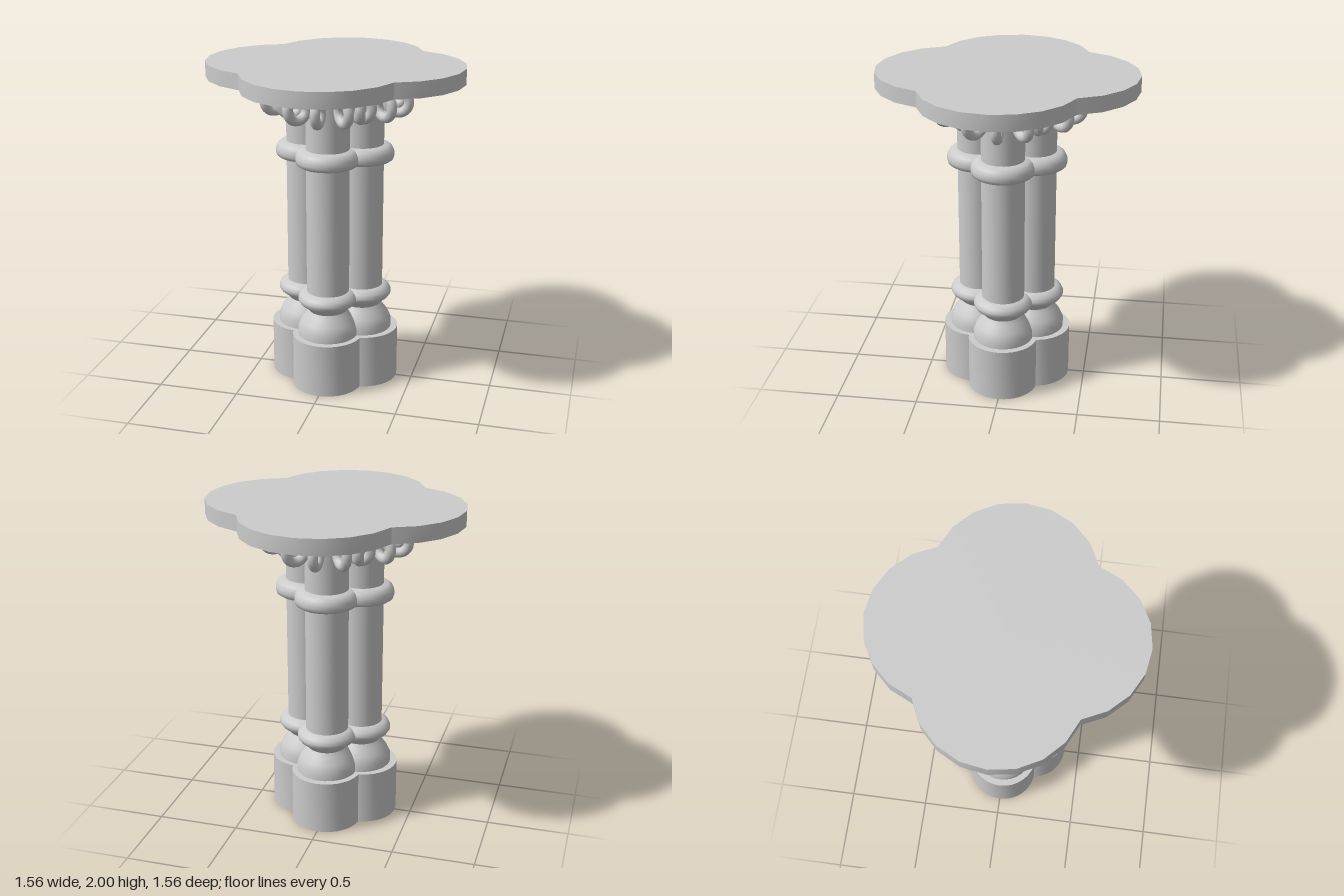
import * as THREE from 'three';
import { toCreasedNormals } from 'three/addons/utils/BufferGeometryUtils.js';

const material = new THREE.MeshStandardMaterial({ color: 0xcccccc });

function addMesh(parent, name, geometry) {
  const mesh = new THREE.Mesh(geometry, material);
  mesh.name = name;
  parent.add(mesh);
  return mesh;
}

// Turned part from [radius, y] pairs, listed bottom to top
function turned(profile, sides = 32) {
  const points = profile.map(([r, y]) => new THREE.Vector2(r, y));
  return toCreasedNormals(new THREE.LatheGeometry(points, sides), 0.7);
}

// Four-lobed outline, counter-clockwise seen from above
function quatrefoil(offset, radius, segments) {
  const notch = (offset + Math.sqrt(2 * radius * radius - offset * offset)) / 2;
  const half = Math.atan2(notch, notch - offset);
  const points = [];
  for (let lobe = 0; lobe < 4; lobe++) {
    for (let i = 0; i < segments; i++) {
      const a = half * (2 * i / segments - 1);
      points.push(new THREE.Vector2(radius * Math.sin(a), offset + radius * Math.cos(a))
        .rotateAround(new THREE.Vector2(), -lobe * Math.PI / 2));
    }
  }
  return points;
}

// Stack scaled copies of an outline; rows are [scale, y], bottom to top
function loft(outline, rows) {
  const n = outline.length;
  const positions = [];
  const index = [];
  for (const [s, y] of rows) for (const p of outline) positions.push(p.x * s, y, p.y * s);
  for (let r = 0; r < rows.length - 1; r++) {
    for (let i = 0; i < n; i++) {
      const a = r * n + i, b = r * n + (i + 1) % n;
      if (rows[r][0] > 0) index.push(a, b, b + n);
      if (rows[r + 1][0] > 0) index.push(a, b + n, a + n);
    }
  }
  const geometry = new THREE.BufferGeometry();
  geometry.setAttribute('position', new THREE.Float32BufferAttribute(positions, 3));
  geometry.setIndex(index);
  return toCreasedNormals(geometry, 0.6);
}

export function createModel() {
  const model = new THREE.Group();
  model.name = 'clusteredColumn';

  const plinth = turned([[0, 0], [0.215, 0], [0.215, 0.335], [0, 0.335]]);
  const foot = turned([
    [0.185, 0.33], [0.185, 0.38], [0.165, 0.425], [0.135, 0.465], [0.117, 0.492],
    [0.13, 0.51], [0.168, 0.54], [0.181, 0.56], [0.182, 0.575], [0.172, 0.597],
    [0.15, 0.615], [0.13, 0.62],
  ]);
  const shaft = turned([[0.13, 0.6], [0.13, 1.92]]);
  const collar = turned([
    [0.12, 1.42], [0.172, 1.42], [0.186, 1.43], [0.192, 1.45], [0.19, 1.475],
    [0.178, 1.5], [0.158, 1.515], [0.12, 1.52],
  ]);
  const ring = new THREE.TorusGeometry(0.066, 0.03, 12, 28);

  // Four identical shafts, each with base, collar and a fan of upright rings
  for (let k = 0; k < 4; k++) {
    const column = new THREE.Group();
    column.name = 'column' + (k + 1);
    column.rotation.y = k * Math.PI / 2;
    model.add(column);

    addMesh(column, 'plinth', plinth).position.z = 0.185;
    addMesh(column, 'foot', foot).position.z = 0.173;
    addMesh(column, 'shaft', shaft).position.z = 0.17;
    addMesh(column, 'collar', collar).position.z = 0.172;

    for (let j = -2; j <= 2; j++) {
      const a = THREE.MathUtils.degToRad(40 * j);
      const curl = addMesh(column, 'capitalRing', ring);
      curl.position.set(0.212 * Math.sin(a), 1.783, 0.17 + 0.212 * Math.cos(a));
      curl.rotation.y = a + Math.PI / 2;
    }
  }

  // Four-lobed slab with a shallow sloping underside
  addMesh(model, 'topSlab', loft(quatrefoil(0.315, 0.465, 8),
    [[0, 1.852], [0.36, 1.852], [0.6, 1.874], [1, 1.905], [1, 2], [0, 2]]));

  return model;
}
